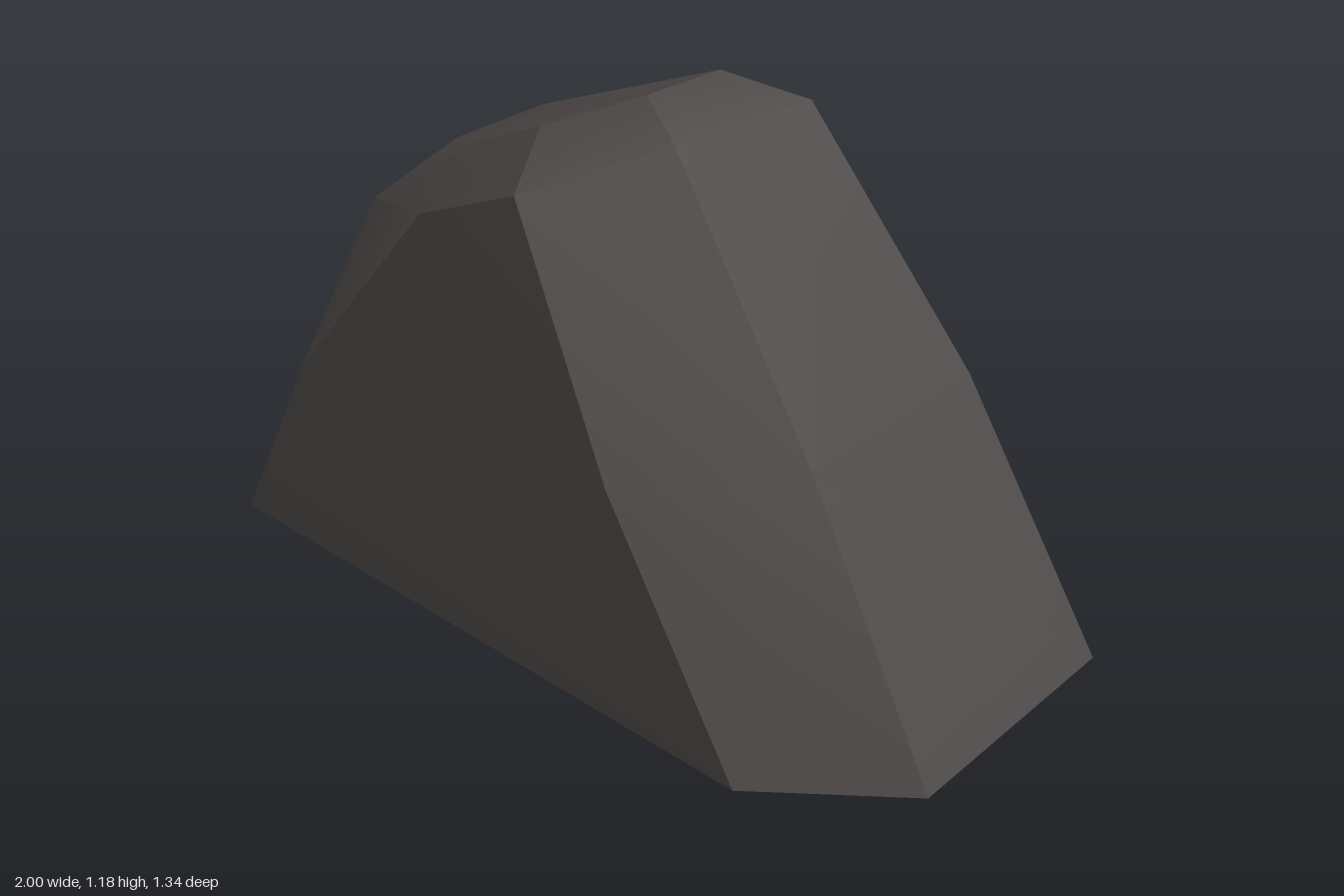
import * as THREE from 'three';
import { ConvexGeometry } from 'three/addons/geometries/ConvexGeometry.js';
import { toCreasedNormals } from 'three/addons/utils/BufferGeometryUtils.js';

// Convex shell around the points, left open where it meets the ground
function openShell(points) {
  const hull = new ConvexGeometry(points.map((p) => new THREE.Vector3(...p)));
  const source = hull.getAttribute('position');
  const kept = [];
  for (let i = 0; i < source.count; i += 3) {
    const corners = [i, i + 1, i + 2];
    if (corners.every((c) => source.getY(c) < 0.001)) continue;
    for (const c of corners) kept.push(source.getX(c), source.getY(c), source.getZ(c));
  }
  const shell = new THREE.BufferGeometry();
  shell.setAttribute('position', new THREE.Float32BufferAttribute(kept, 3));
  return shell;
}

export function createModel() {
  const stone = new THREE.MeshStandardMaterial({ color: 0x494544, side: THREE.DoubleSide });
  stone.name = 'dark stone';

  // Outline on the ground
  const base = [
    [-1, 0, -0.34], [-0.99, 0, 0.445], [0.68, 0, 0.67], [1, 0, 0.45],
    [1, 0, -0.22], [0.56, 0, -0.67], [-0.73, 0, -0.5],
  ];
  // Bulging corners halfway up
  const middle = [
    [-0.73, 0.46, 0.475], [0.3, 0.52, 0.6], [0.63, 0.56, 0.345],
    [0.62, 0.56, -0.27], [0.36, 0.39, -0.64], [-0.64, 0.39, -0.53],
  ];
  // Shoulders under the crown
  const shoulders = [
    [-0.08, 1.02, 0.435], [-0.36, 0.915, 0.435], [-0.64, 0.85, 0.3], [-0.73, 0.77, -0.3],
    [-0.55, 0.85, -0.39], [-0.45, 0.76, -0.48], [0.16, 0.79, -0.515],
  ];
  // Chipped crown
  const crown = [
    [0.02, 1.18, 0.12], [0.02, 1.175, -0.14], [0.17, 1.1, -0.28], [0.145, 1.11, 0.18],
    [-0.57, 0.96, -0.21], [-0.54, 0.97, 0.12], [-0.32, 1.05, 0.28], [-0.14, 1.12, 0.28],
  ];

  // Soft shading over shallow facets, sharp at the main ridges
  const shell = openShell([...base, ...middle, ...shoulders, ...crown]);
  const boulder = new THREE.Mesh(toCreasedNormals(shell, THREE.MathUtils.degToRad(27)), stone);
  boulder.name = 'boulder';

  const group = new THREE.Group();
  group.name = 'rock';
  group.add(boulder);
  return group;
}
